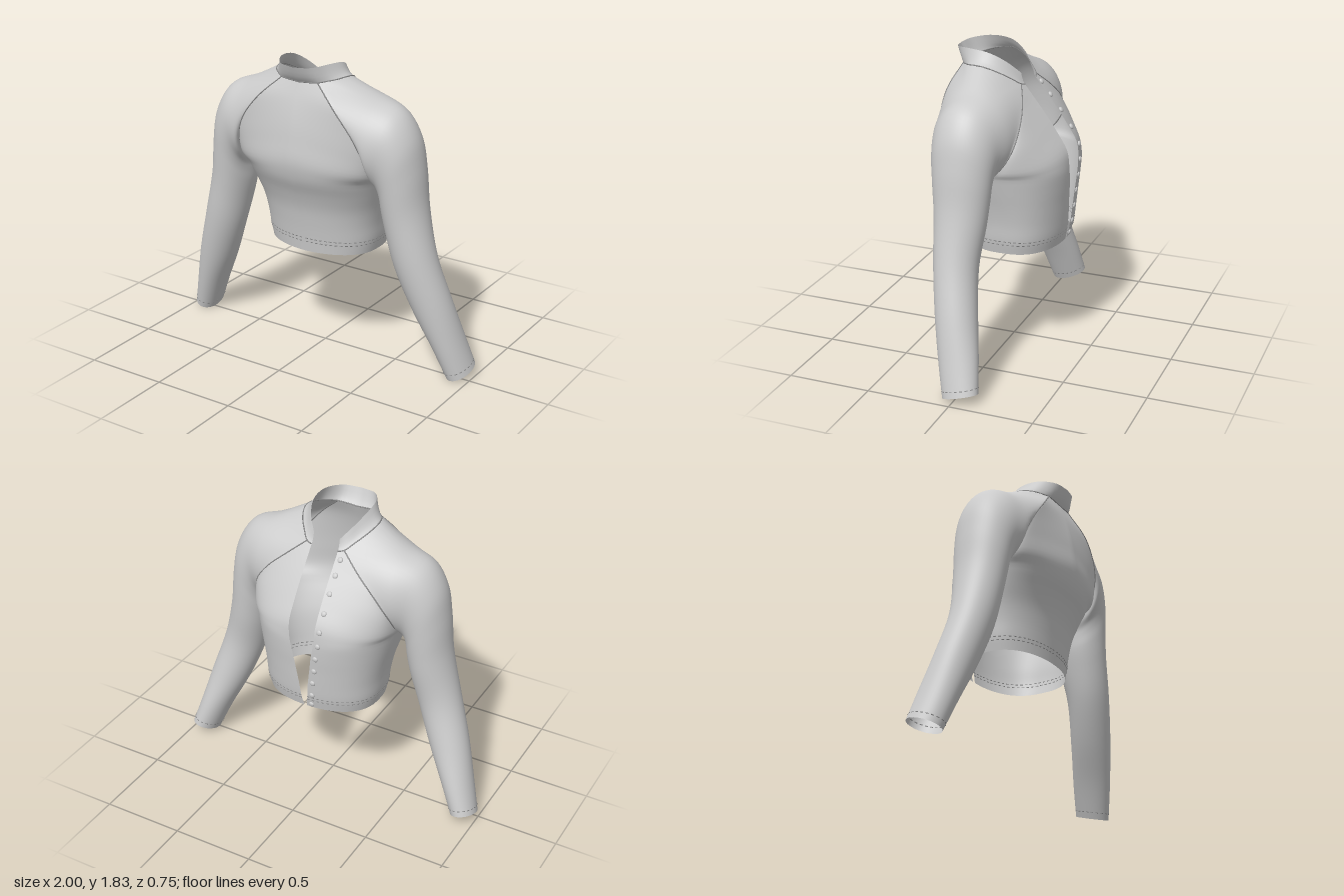
import * as THREE from 'three';
import { mergeGeometries, mergeVertices } from 'three/addons/utils/BufferGeometryUtils.js';

const V = (x, y, z) => new THREE.Vector3(x, y, z);
const curve = (pts) => new THREE.CatmullRomCurve3(pts.map((p) => V(...p)));
const lerp = THREE.MathUtils.lerp;
const flipX = (p) => V(-p.x, p.y, p.z);

// Guide curves of the left half (+x); the open side of the jacket faces -z
const openingEdge = curve([
  [0.01, 0.685, -0.33], [0.02, 0.76, -0.345], [0.03, 0.86, -0.355], [0.045, 0.96, -0.362], [0.06, 1.06, -0.37],
  [0.078, 1.16, -0.372], [0.085, 1.26, -0.36], [0.085, 1.37, -0.295], [0.085, 1.47, -0.225], [0.085, 1.56, -0.155], [0.085, 1.63, -0.1]]);
const backCentre = curve([
  [0, 0.675, 0.22], [0, 0.76, 0.23], [0, 0.86, 0.245], [0, 0.96, 0.265], [0, 1.06, 0.3],
  [0, 1.16, 0.345], [0, 1.27, 0.368], [0, 1.39, 0.357], [0, 1.5, 0.34], [0, 1.62, 0.31], [0, 1.72, 0.275]]);
const sideLine = curve([
  [0.345, 0.68, -0.05], [0.362, 0.76, -0.05], [0.372, 0.86, -0.04], [0.39, 0.96, -0.02], [0.415, 1.06, 0.02], [0.44, 1.16, 0.06]]);
const backSeam = curve([
  [0.44, 1.16, 0.06], [0.445, 1.22, 0.2], [0.425, 1.33, 0.27], [0.37, 1.46, 0.305], [0.255, 1.605, 0.31], [0.12, 1.73, 0.265]]);
const frontSeam = curve([
  [0.44, 1.16, 0.06], [0.45, 1.21, -0.07], [0.425, 1.33, -0.15], [0.34, 1.45, -0.165], [0.23, 1.55, -0.14], [0.12, 1.64, -0.09]]);
const neckSide = curve([
  [0.12, 1.73, 0.265], [0.2, 1.745, 0.2], [0.235, 1.75, 0.1], [0.2, 1.71, 0], [0.12, 1.64, -0.09]]);
const collarTop = curve([
  [0, 1.815, 0.33], [0.1, 1.82, 0.305], [0.165, 1.83, 0.2], [0.172, 1.815, 0.08], [0.14, 1.765, -0.01], [0.083, 1.695, -0.075]]);

const STEPS = 20, COLS = 18, NECK = 8, RING = 2 * STEPS + NECK;

// Half-width torso panel: rounded below the armpit, flattening towards the neck
function panel(centre, seam) {
  const rows = [];
  for (let k = 0; k <= 2 * STEPS; k++) {
    const c = centre.getPoint(k / (2 * STEPS));
    const e = k <= STEPS ? sideLine.getPoint(k / STEPS) : seam.getPoint(k / STEPS - 1);
    const s = Math.max(0, k / STEPS - 1);
    const row = [];
    for (let j = 0; j <= COLS; j++) {
      const u = j / COLS, a = u * Math.PI / 2;
      const along = lerp(Math.sin(a), u, s);
      const depth = j === COLS ? 0 : lerp(Math.pow(Math.cos(a), 0.75), 1 - u, s);
      row.push(V(lerp(c.x, e.x, along), lerp(c.y, e.y, along), lerp(e.z, c.z, depth)));
    }
    rows.push(row);
  }
  return rows;
}

// Sleeve: from the raglan seam loop through tilted ellipses down to the cuff
function sleeve() {
  const loop = [
    ...backSeam.getPoints(STEPS).slice(0, -1),
    ...neckSide.getPoints(NECK),
    ...frontSeam.getPoints(STEPS).reverse().slice(1)];
  // outer x, y, inner x, y, back z, front z, tilt
  const rings = [
    [0.42, 1.655, 0.455, 1.135, 0.305, -0.145, 0], [0.57, 1.592, 0.465, 1.1, 0.285, -0.11, 0],
    [0.66, 1.46, 0.468, 1.06, 0.27, -0.095, 0], [0.7, 1.28, 0.473, 0.99, 0.255, -0.085, 0],
    [0.727, 1.05, 0.495, 0.88, 0.237, -0.07, 0], [0.795, 0.76, 0.55, 0.68, 0.215, -0.045, 0],
    [0.882, 0.48, 0.645, 0.44, 0.17, -0.075, 0.01], [0.95, 0.23, 0.76, 0.21, 0.115, -0.118, 0.02],
    [0.998, 0.06, 0.845, 0.02, 0.068, -0.143, 0.03]];
  const columns = loop.map((p, c) => {
    const th = 2 * Math.PI * c / RING, co = Math.cos(th), si = Math.sin(th);
    const pts = rings.map(([ox, oy, ix, iy, zb, zf, tilt]) => V(
      (ox + ix) / 2 + co * (ix - ox) / 2,
      (oy + iy) / 2 + co * (iy - oy) / 2 - si * tilt,
      (zb + zf) / 2 + si * (zb - zf) / 2));
    return new THREE.CatmullRomCurve3([p, ...pts]).getPoints(rings.length * 5);
  });
  return columns[0].map((_, r) => columns.map((col) => col[r]));
}

// Surface through a grid of points
function grid(rows, flip) {
  const n = rows[0].length, idx = [];
  for (let r = 0; r < rows.length - 1; r++) {
    for (let c = 0; c < n - 1; c++) {
      const a = r * n + c, b = a + 1, d = a + n, e = d + 1;
      idx.push(...(flip ? [a, e, b, a, d, e] : [a, b, e, a, e, d]));
    }
  }
  const g = new THREE.BufferGeometry().setFromPoints(rows.flat());
  g.setIndex(idx);
  return g;
}
const mirrorRows = (rows) => rows.map((row) => row.map(flipX));

// Thread along a line of points, solid or as stitches
function thread(points, radius, dashed) {
  const path = new THREE.CatmullRomCurve3(points);
  if (!dashed) return new THREE.TubeGeometry(path, points.length * 2, radius, 5);
  const count = Math.round(path.getLength() / 0.03), parts = [];
  for (let i = 0; i < count; i++) {
    const line = new THREE.LineCurve3(path.getPointAt(i / count), path.getPointAt((i + 0.55) / count));
    parts.push(new THREE.TubeGeometry(line, 1, radius, 4));
  }
  return mergeGeometries(parts);
}

export function createModel() {
  const model = new THREE.Group();
  const fabric = new THREE.MeshStandardMaterial({ color: 0xcccccc, side: THREE.DoubleSide });
  fabric.name = 'light grey fabric';
  const dark = new THREE.MeshStandardMaterial({ color: 0x8c8c8c });
  dark.name = 'grey thread';
  const add = (name, geo, mat) => {
    const mesh = new THREE.Mesh(geo, mat);
    mesh.name = name;
    model.add(mesh);
    return mesh;
  };

  // Cloth panels, joined for smooth normals and then split by part
  const front = panel(openingEdge, frontSeam), back = panel(backCentre, backSeam), arm = sleeve();
  const patches = [
    ['leftChestPanel', front, true], ['rightChestPanel', mirrorRows(front), false],
    ['leftBackPanel', back, false], ['rightBackPanel', mirrorRows(back), true],
    ['leftSleeve', arm, true], ['rightSleeve', mirrorRows(arm), false]];
  const geos = patches.map(([, rows, flip]) => grid(rows, flip));
  const whole = mergeVertices(mergeGeometries(geos), 1e-4);
  whole.computeVertexNormals();
  let start = 0;
  patches.forEach(([name], i) => {
    const part = new THREE.BufferGeometry();
    const count = geos[i].index.count;
    part.setAttribute('position', whole.attributes.position);
    part.setAttribute('normal', whole.attributes.normal);
    part.setIndex(Array.from(whole.index.array.slice(start, start + count)));
    start += count;
    add(name, part, fabric);
  });

  // Stand collar, open at the chest
  const base = new THREE.CatmullRomCurve3([V(0, 1.72, 0.275), ...neckSide.getPoints(NECK), V(0.085, 1.63, -0.1)]);
  const wrap = (half) => [...half.slice(1).reverse().map(flipX), ...half];
  const low = wrap(base.getSpacedPoints(24)), high = wrap(collarTop.getSpacedPoints(24));
  const collarRows = [0, 0.25, 0.5, 0.75, 1].map((t) => low.map((p, i) => {
    const q = p.clone().lerp(high[i], t);
    q.y -= 0.012 * Math.sin(Math.PI * t);
    return q;
  }));
  const collar = grid(collarRows, false);
  collar.computeVertexNormals();
  add('collar', collar, fabric);
  add('collarSeam', thread(low, 0.004, false), dark);

  // Raglan seams, cuff and hem stitching on both sides
  const hemLine = (k) => [...front[k], ...back[k].slice(0, -1).reverse()];
  for (const [side, m] of [['left', (p) => p], ['right', flipX]]) {
    add(side + 'BackSeam', thread(backSeam.getPoints(24).map(m), 0.004, false), dark);
    add(side + 'ChestSeam', thread(frontSeam.getPoints(24).map(m), 0.004, false), dark);
    add(side + 'CuffStitching', thread(arm[arm.length - 2].map(m), 0.003, true), dark);
    add(side + 'HemStitching', thread(hemLine(4).map(m), 0.003, true), dark);
    add(side + 'HemSeam', thread(hemLine(3).map(m), 0.003, true), dark);
  }

  // Buttons along the right opening edge
  const button = new THREE.SphereGeometry(0.017, 14, 8);
  button.scale(1, 1, 0.55);
  for (let i = 0; i < 11; i++) {
    const t = 0.03 + i * 0.092;
    const p = flipX(openingEdge.getPoint(t)), tan = openingEdge.getTangent(t);
    const b = add('button', button, fabric);
    b.position.set(p.x - 0.03, p.y, p.z);
    b.rotation.x = Math.atan2(tan.z, tan.y);
  }
  return model;
}
